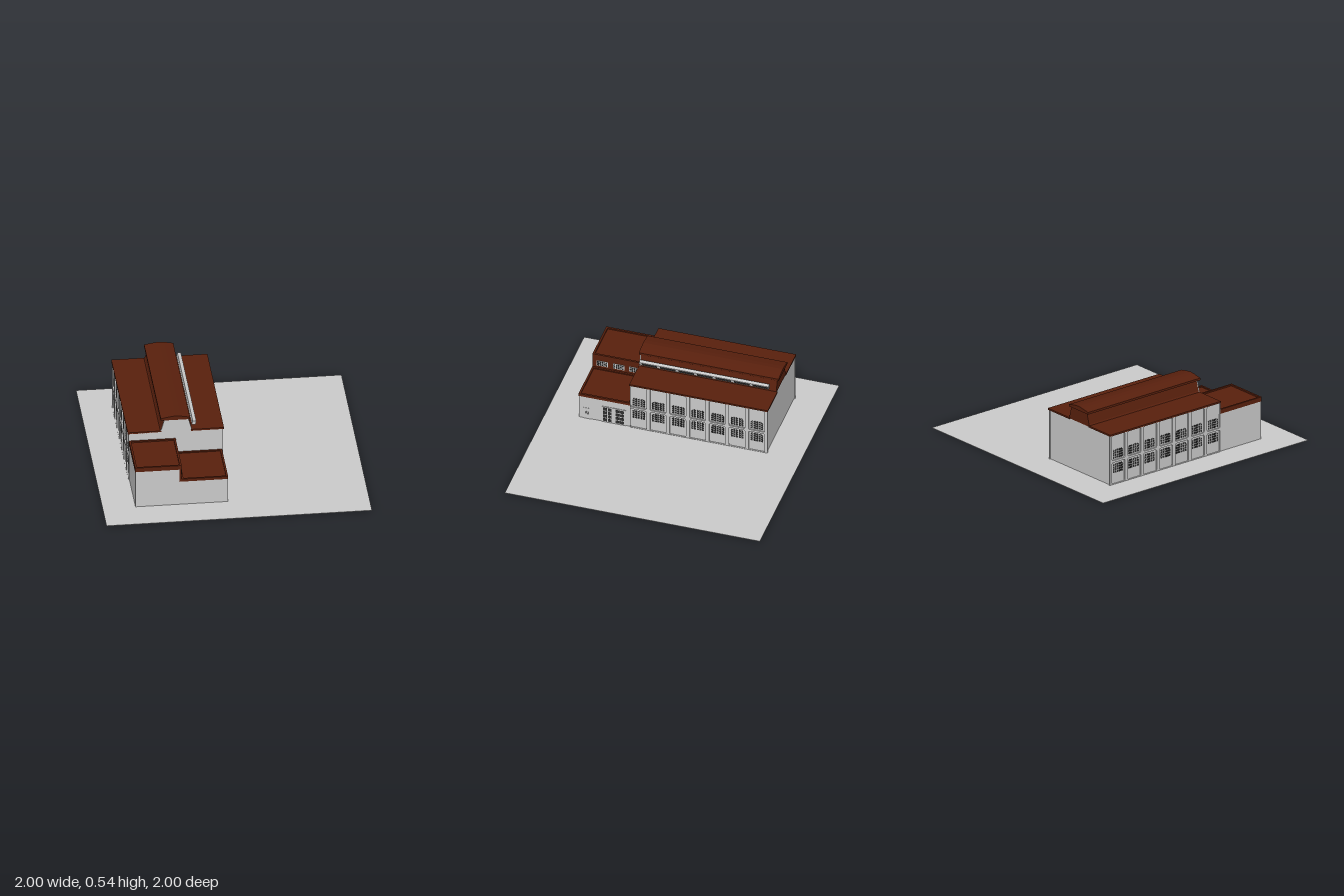
import * as THREE from 'three';
import { mergeGeometries } from 'three/addons/utils/BufferGeometryUtils.js';

const mat = (name, color) => {
  const m = new THREE.MeshStandardMaterial({ color });
  m.name = name;
  return m;
};

export function createModel() {
  const model = new THREE.Group();
  model.name = 'industrialHall';
  const concrete = mat('paleConcrete', 0xcbcbcb);
  const rust = mat('rustRoof', 0x59200d);
  const glass = mat('darkGlass', 0x303030);

  const add = (name, geo, material) => {
    const mesh = new THREE.Mesh(geo, material);
    mesh.name = name;
    model.add(mesh);
    return mesh;
  };
  // Box given by its limits on each axis
  const boxGeo = (x0, x1, y0, y1, z0, z1) =>
    new THREE.BoxGeometry(x1 - x0, y1 - y0, z1 - z0).translate((x0 + x1) / 2, (y0 + y1) / 2, (z0 + z1) / 2);
  const box = (name, material, ...limits) => add(name, boxGeo(...limits), material);
  const polygon = pts => new THREE.Shape(pts.map(p => new THREE.Vector2(...p)));
  const extrude = (shape, depth) =>
    new THREE.ExtrudeGeometry(shape, { depth, bevelEnabled: false, curveSegments: 4 });
  // Prism with an x-y profile running from z0 to z1
  const prism = (name, material, pts, z0, z1) =>
    add(name, extrude(polygon(pts), z1 - z0).translate(0, 0, z0), material);
  // Rectangular ring lying flat, for parapets
  const rim = (name, x0, x1, z0, z1, y0, y1, t) => {
    const s = polygon([[x0, -z1], [x1, -z1], [x1, -z0], [x0, -z0]]);
    s.holes.push(polygon([[x0 + t, -z1 + t], [x0 + t, -z0 - t], [x1 - t, -z0 - t], [x1 - t, -z1 + t]]));
    add(name, extrude(s, y1 - y0).rotateX(-Math.PI / 2).translate(0, y0, 0), rust);
  };
  const roundRect = (x0, x1, y0, y1, r) => {
    const p = new THREE.Path();
    p.moveTo(x0 + r, y0).lineTo(x1 - r, y0).quadraticCurveTo(x1, y0, x1, y0 + r);
    p.lineTo(x1, y1 - r).quadraticCurveTo(x1, y1, x1 - r, y1);
    p.lineTo(x0 + r, y1).quadraticCurveTo(x0, y1, x0, y1 - r);
    p.lineTo(x0, y0 + r).quadraticCurveTo(x0, y0, x0 + r, y0);
    return p;
  };
  // Grid of thin panes on a wall facing x; top corner panes may be cut
  const panes = (x, z0, z1, y0, y1, cols, rows, cut = 0, gap = 0.005) => {
    const w = (z1 - z0 + gap) / cols, h = (y1 - y0 + gap) / rows, list = [];
    for (let i = 0; i < cols; i++) {
      for (let j = 0; j < rows; j++) {
        const a = z0 + i * w, b = a + w - gap, c = y0 + j * h, d = c + h - gap;
        const l = j === rows - 1 && i === 0 ? cut : 0;
        const r = j === rows - 1 && i === cols - 1 ? cut : 0;
        const pts = [[a, c], [b, c], [b, d - r]];
        if (r) pts.push([b - r, d]);
        pts.push([a + l, d]);
        if (l) pts.push([a, d - l]);
        list.push(extrude(polygon(pts), 0.004).rotateY(-Math.PI / 2).translate(x + 0.002, 0, 0));
      }
    }
    return mergeGeometries(list);
  };

  // Ground plate
  box('ground', concrete, -1, 1, 0, 0.003, -1, 1);

  // Main hall body
  box('hallBody', concrete, -0.75, -0.058, 0, 0.4, -0.725, 0.345);

  // Long walls: pilaster layer with rounded recesses, and paned windows
  const bays = Array.from({ length: 7 }, (_, i) => 0.279 - i * 0.1545);
  for (const [side, outer, inner] of [['left', -0.048, -0.058], ['right', -0.75, -0.75]]) {
    const s = polygon([[-0.733, 0], [0.345, 0], [0.345, 0.4], [-0.733, 0.4]]);
    for (const z of bays) {
      s.holes.push(roundRect(z - 0.063, z + 0.063, 0.006, 0.178, 0.012));
      s.holes.push(roundRect(z - 0.063, z + 0.063, 0.195, 0.394, 0.012));
    }
    add(side + 'Pilasters', extrude(s, 0.01).rotateY(-Math.PI / 2).translate(outer, 0, 0), concrete);
    const windows = bays.flatMap(z => [[0.09, 0.162], [0.205, 0.275]].map(
      ([y0, y1]) => panes(inner, z - 0.049, z + 0.049, y0, y1, 5, 4, 0.01)));
    add(side + 'HallWindows', mergeGeometries(windows), glass);
  }

  // Hall roof slabs either side of the lantern
  box('rightRoof', rust, -0.765, -0.51, 0.397, 0.41, -0.735, 0.345);
  box('leftRoof', rust, -0.29, -0.04, 0.397, 0.41, -0.738, 0.348);

  // Raised roof lantern with a pale front gable
  const lantern = [[-0.527, 0.4], [-0.28, 0.4], [-0.285, 0.42], [-0.308, 0.505], [-0.488, 0.505], [-0.512, 0.42]];
  prism('lanternBody', rust, lantern, -0.73, 0.337);
  prism('lanternGable', concrete, lantern, 0.337, 0.345);
  prism('lanternCap', rust, [[-0.517, 0.503], [-0.485, 0.503], [-0.308, 0.503], [-0.297, 0.503],
    [-0.297, 0.52], [-0.365, 0.533], [-0.405, 0.537], [-0.445, 0.533], [-0.517, 0.52]], -0.743, 0.352);

  // Tilted glazed strip beside the lantern
  const strip = new THREE.Group();
  strip.name = 'lanternStrip';
  strip.position.set(-0.264, 0.458, 0);
  strip.rotation.z = -0.24;
  const stripBody = new THREE.Mesh(boxGeo(-0.014, 0.014, -0.015, 0.015, -0.678, 0.335), concrete);
  stripBody.name = 'stripBody';
  const slots = [];
  for (let i = 0; i < 7; i++) {
    const z = 0.255 - i * 0.1447;
    for (const y of [-0.0045, 0.0045]) slots.push(boxGeo(0.012, 0.0155, y - 0.0033, y + 0.0033, z - 0.06, z + 0.06));
  }
  const stripSlots = new THREE.Mesh(mergeGeometries(slots), glass);
  stripSlots.name = 'stripWindows';
  strip.add(stripBody, stripSlots);
  model.add(strip);

  // Front annex: high block and low block
  box('annexHighWall', concrete, -0.753, -0.42, 0, 0.305, 0.34, 0.748);
  box('annexLowWall', concrete, -0.42, -0.057, 0, 0.2, 0.34, 0.748);
  box('annexStepWall', rust, -0.42, -0.405, 0.2, 0.305, 0.345, 0.75);
  box('annexHighRoof', rust, -0.756, -0.405, 0.305, 0.33, 0.345, 0.75);
  rim('annexHighParapet', -0.756, -0.405, 0.345, 0.75, 0.33, 0.34, 0.015);
  box('annexLowRoof', rust, -0.405, -0.055, 0.2, 0.214, 0.345, 0.75);
  rim('annexLowParapet', -0.405, -0.055, 0.345, 0.75, 0.214, 0.222, 0.015);

  // Clerestory windows in the step wall
  for (const z of [0.672, 0.543, 0.417]) {
    box('clerestoryFrame', concrete, -0.406, -0.402, 0.24, 0.286, z - 0.044, z + 0.044);
    add('clerestoryPanes', panes(-0.402, z - 0.039, z + 0.039, 0.245, 0.281, 5, 3, 0), glass);
  }

  // Double door and small side door
  box('doubleDoor', concrete, -0.06, -0.053, 0, 0.145, 0.378, 0.575);
  for (const z of [0.522, 0.426]) {
    add('doorPanes', panes(-0.053, z - 0.033, z + 0.033, 0.012, 0.135, 2, 4, 0, 0.008), glass);
  }
  box('smallDoor', concrete, -0.06, -0.054, 0, 0.1, 0.655, 0.711);
  add('smallDoorPanes', panes(-0.054, 0.672, 0.694, 0.043, 0.07, 2, 3, 0, 0.005), glass);

  return model;
}
